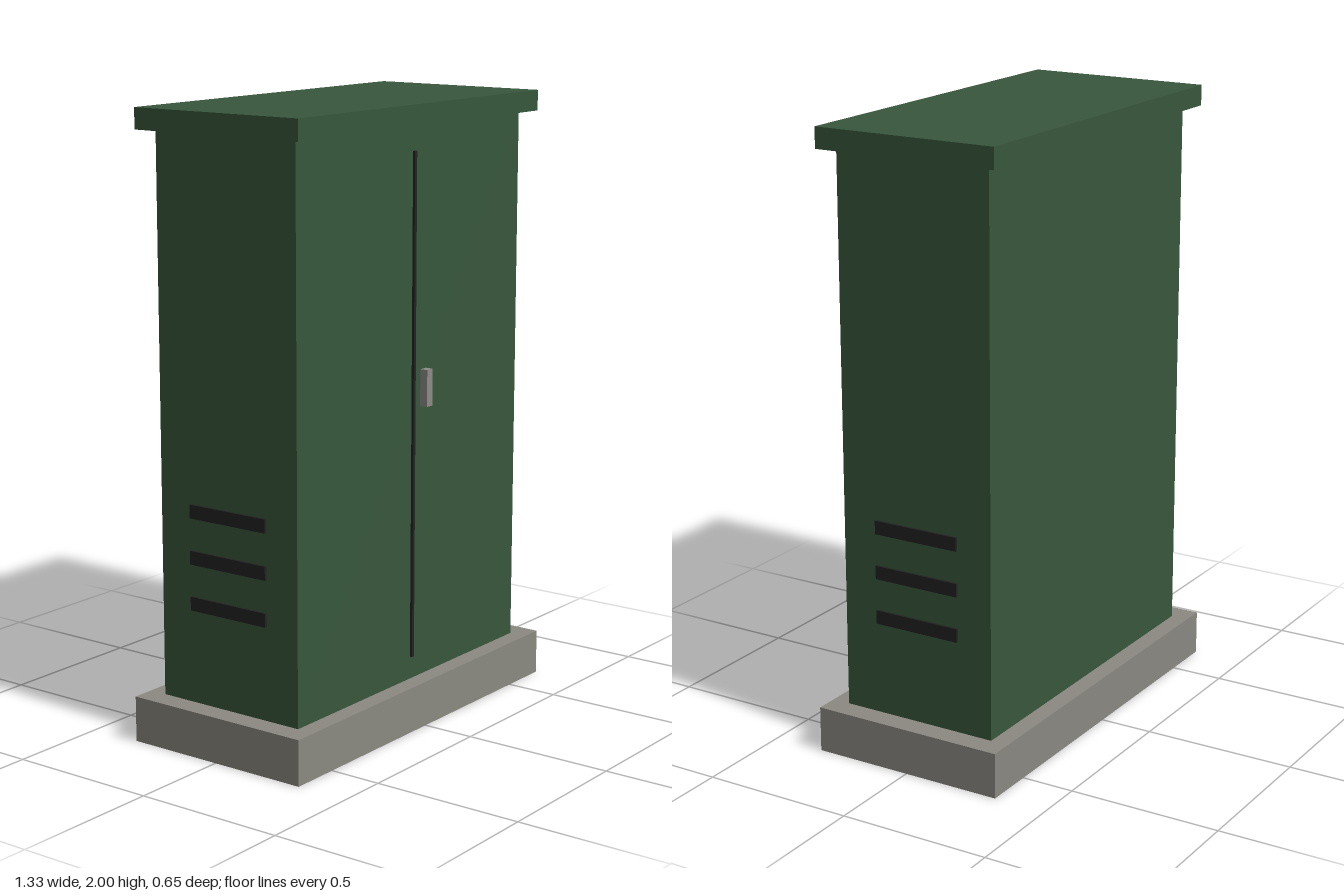
import * as THREE from 'three';

const paint = (name, color) => {
  const m = new THREE.MeshStandardMaterial({ color });
  m.name = name;
  return m;
};

export function createModel() {
  const group = new THREE.Group();
  group.name = 'utilityCabinet';
  const green = paint('cabinetGreen', 0x38573c);
  const concrete = paint('concreteGrey', 0x8b8981);
  const metal = paint('handleGrey', 0x8e8c88);
  const dark = paint('gapBlack', 0x222222);

  // box centred on x, z with its underside at y
  const box = (name, material, [w, h, d], [x, y, z]) => {
    const mesh = new THREE.Mesh(new THREE.BoxGeometry(w, h, d), material);
    mesh.name = name;
    mesh.position.set(x, y + h / 2, z);
    group.add(mesh);
  };

  // plinth, cabinet and overhanging roof
  box('plinth', concrete, [1.333, 0.148, 0.652], [0, 0, 0]);
  box('cabinetBody', green, [1.185, 1.785, 0.533], [0, 0.148, 0]);
  box('roof', green, [1.274, 0.067, 0.622], [0, 1.933, 0]);

  // gap between the doors, and the handle on the model's left door
  box('doorGap', dark, [0.011, 1.63, 0.009], [0, 0.222, 0.27]);
  box('doorHandle', metal, [0.03, 0.119, 0.03], [0.057, 1.041, 0.278]);

  // three vent slots on each side
  for (const side of [-1, 1]) {
    for (let i = 0; i < 3; i++) {
      box('ventSlot', dark, [0.015, 0.044, 0.296], [side * 0.593, 0.449 + i * 0.148, 0]);
    }
  }
  return group;
}
